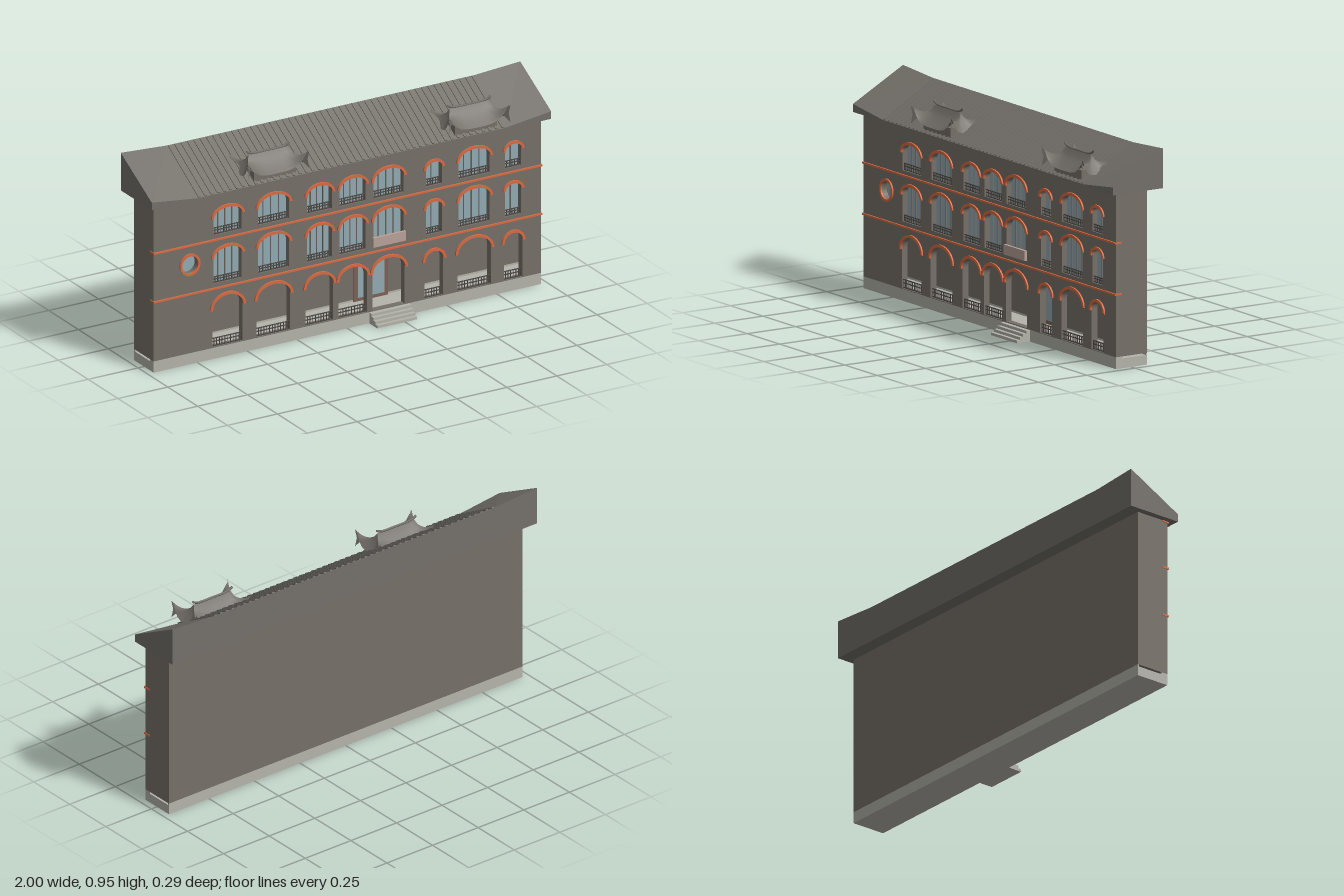
import * as THREE from 'three';

const mat = (name, color, side = THREE.FrontSide) => {
  const m = new THREE.MeshStandardMaterial({ color, side });
  m.name = name;
  return m;
};

export function createModel() {
  const wall = mat('wallGrey', 0x77706a);
  const roofMat = mat('roofGrey', 0x74706a, THREE.DoubleSide);
  const stone = mat('paleStone', 0xb4b3ab);
  const brick = mat('orangeBrick', 0xd96c44);
  const glass = mat('windowGlass', 0x93abb3);
  const iron = mat('darkRailing', 0x4c4844);
  const signMat = mat('signPanel', 0xb9a298);
  const frameMat = mat('doorFrame', 0x7d6257);

  const model = new THREE.Group();
  model.name = 'arcadeBuilding';
  const add = (name, geo, material, parent = model) => {
    const m = new THREE.Mesh(geo, material);
    m.name = name;
    parent.add(m);
    return m;
  };
  // Box given by its limits on each axis
  const box = (name, x0, x1, y0, y1, z0, z1, material, parent) => {
    const m = add(name, new THREE.BoxGeometry(x1 - x0, y1 - y0, z1 - z0), material, parent);
    m.position.set((x0 + x1) / 2, (y0 + y1) / 2, (z0 + z1) / 2);
    return m;
  };

  // Stone base, kerbs and entrance steps
  box('base', -0.97, 0.97, 0, 0.043, -0.083, 0.08, stone);
  box('frontKerb', -0.97, 0.97, 0.043, 0.052, 0.048, 0.08, stone);
  box('backKerb', -0.97, 0.97, 0.043, 0.052, -0.083, -0.076, stone);
  for (let i = 0; i < 4; i++) {
    box('step', 0.11, 0.31, i * 0.0125, (i + 1) * 0.0125, 0.08, 0.147 - i * 0.016, stone);
  }

  // Hollow ground floor and solid upper floors behind the front wall
  box('upperFloors', -0.97, 0.97, 0.32, 0.775, -0.083, 0.05, wall);
  box('backWall', -0.97, 0.97, 0.052, 0.32, -0.083, -0.075, wall);
  for (const s of [-1, 1]) {
    box('endWall', Math.min(s * 0.97, s * 0.95), Math.max(s * 0.97, s * 0.95), 0.052, 0.32, -0.075, 0.05, wall);
  }

  // Columns of openings: centre, width
  const columns = [[-0.6, 0.14], [-0.37, 0.155], [-0.14, 0.125], [0.027, 0.13],
    [0.206, 0.15], [0.433, 0.08], [0.635, 0.155], [0.83, 0.08]];
  // Floors: sill, arch spring, arch rise, extra width, rail height
  const floors = [
    { y0: 0.055, spring: 0.232, rise: 0.058, extra: 0.012, rail: 0.037 },
    { y0: 0.35, spring: 0.475, rise: 0.045, extra: 0, rail: 0.027 },
    { y0: 0.575, spring: 0.66, rise: 0.045, extra: 0, rail: 0.03 },
  ];

  const face = new THREE.Shape();
  face.moveTo(-0.97, 0.052).lineTo(0.97, 0.052).lineTo(0.97, 0.775).lineTo(-0.97, 0.775).closePath();
  const round = { x: -0.79, y: 0.465, r: 0.041 };
  face.holes.push(new THREE.Path().absarc(round.x, round.y, round.r, 0, Math.PI * 2, true));

  floors.forEach((f, level) => columns.forEach(([cx, width], c) => {
    const w = width + f.extra, h = w / 2;
    const rise = f.rise - (w < 0.1 ? 0.018 : w < 0.145 ? 0.007 : 0);
    const hole = new THREE.Path();
    hole.moveTo(cx - h, f.y0).lineTo(cx + h, f.y0).lineTo(cx + h, f.spring);
    hole.absellipse(cx, f.spring, h, rise, 0, Math.PI, false);
    hole.closePath();
    face.holes.push(hole);

    // Brick arch over the opening
    const arch = new THREE.Shape();
    arch.absellipse(cx, f.spring - 0.006, h + 0.013, rise + 0.017, 0, Math.PI, false);
    arch.lineTo(cx - h, f.spring - 0.006);
    arch.absellipse(cx, f.spring - 0.002, h, rise, Math.PI, 0, true);
    const archGeo = new THREE.ExtrudeGeometry(arch, { depth: 0.008, bevelEnabled: false, curveSegments: 12 });
    add('brickArch', archGeo, brick).position.z = 0.0795;

    // Glazing with glazing bars on the upper floors
    if (level > 0) {
      box('windowGlass', cx - h, cx + h, f.y0, f.spring + rise, 0.05, 0.054, glass);
      const bars = w > 0.1 ? 4 : 2;
      for (let i = 1; i < bars; i++) {
        const x = cx - h + (w * i) / bars;
        box('glazingBar', x - 0.0015, x + 0.0015, f.y0, f.spring + rise * 0.8, 0.054, 0.059, wall);
      }
    }
    // Railing in every opening except the doorway
    if (level > 0 || c !== 4) {
      const rail = new THREE.Group();
      rail.name = 'railing';
      model.add(rail);
      for (const y of [f.y0 + 0.002, f.y0 + f.rail * 0.6, f.y0 + f.rail]) {
        box('handrail', cx - h, cx + h, y - 0.0018, y + 0.0018, 0.068, 0.073, iron, rail);
      }
      const n = Math.round(w / 0.014);
      for (let i = 0; i <= n; i++) {
        const x = cx - h + (w * i) / n;
        box('baluster', x - 0.0015, x + 0.0015, f.y0, f.y0 + f.rail, 0.069, 0.072, iron, rail);
      }
    }
  }));
  const faceGeo = new THREE.ExtrudeGeometry(face, { depth: 0.03, bevelEnabled: false, curveSegments: 12 });
  add('frontWall', faceGeo, wall).position.z = 0.05;

  // Round window
  box('roundWindowGlass', round.x - 0.045, round.x + 0.045, round.y - 0.045, round.y + 0.045, 0.05, 0.054, glass);
  const ring = new THREE.Shape().absarc(round.x, round.y, 0.051, 0, Math.PI * 2, false);
  ring.holes.push(new THREE.Path().absarc(round.x, round.y, 0.04, 0, Math.PI * 2, true));
  const ringGeo = new THREE.ExtrudeGeometry(ring, { depth: 0.008, bevelEnabled: false, curveSegments: 20 });
  add('roundWindowRing', ringGeo, brick).position.z = 0.0795;

  // Brick bands between floors
  for (const y of [0.328, 0.554, 0.772]) {
    box('brickBand', -0.973, 0.973, y - 0.004, y + 0.004, 0.052, 0.087, brick);
  }

  // Entrance doors set deep in the arcade, and the panel above
  box('doorFrame', 0.12, 0.292, 0.043, 0.262, -0.075, -0.068, frameMat);
  for (const s of [-1, 1]) {
    const x = 0.206 + s * 0.035;
    box('doorGlass', x - 0.032, x + 0.032, 0.06, 0.25, -0.068, -0.064, glass);
  }
  box('signPanel', 0.125, 0.287, 0.352, 0.396, 0.08, 0.092, signMat);

  // Main roof: wedge section lofted along x, lifted at both ends
  const section = (x, eave, ridge) => [[x, 0.775, 0.115], [x, eave, 0.115], [x, ridge, -0.145], [x, 0.775, -0.145]];
  const secs = [section(-1, 0.81, 0.95), section(-0.77, 0.782, 0.935), section(0.77, 0.782, 0.935), section(1, 0.81, 0.95)];
  const pos = [];
  const tri = (...pts) => pts.forEach((p) => pos.push(...p));
  for (let i = 0; i < 3; i++) {
    for (let j = 0; j < 4; j++) {
      const k = (j + 1) % 4, s = secs[i], n = secs[i + 1];
      tri(s[j], n[j], n[k], s[j], n[k], s[k]);
    }
  }
  const [l, r] = [secs[0], secs[3]];
  tri(l[0], l[1], l[2], l[0], l[2], l[3], r[0], r[3], r[2], r[0], r[2], r[1]);
  const roofGeo = new THREE.BufferGeometry();
  roofGeo.setAttribute('position', new THREE.Float32BufferAttribute(pos, 3));
  roofGeo.computeVertexNormals();
  add('mainRoof', roofGeo, roofMat);

  // Tile ribs running down the slope
  const slope = Math.atan2(0.153, 0.26);
  const ribGeo = new THREE.BoxGeometry(0.012, 0.008, 0.296);
  for (let i = 0; i <= 48; i++) {
    const rib = add('tileRib', ribGeo, roofMat);
    rib.position.set(-0.76 + (i * 1.52) / 48, 0.8585, -0.015);
    rib.rotation.x = slope;
  }

  // Small hipped roofs with upswept corners
  const makeDormer = (cx) => {
    const g = new THREE.Group();
    g.name = 'dormer';
    g.position.x = cx;
    model.add(g);
    const loop = [], N = 10, T = 6;
    const corners = [[-1, 1], [1, 1], [1, -1], [-1, -1]];
    corners.forEach(([u, v], i) => {
      const [u2, v2] = corners[(i + 1) % 4];
      for (let k = 0; k < N; k++) loop.push([u + ((u2 - u) * k) / N, v + ((v2 - v) * k) / N]);
    });
    const verts = [], idx = [], L = loop.length;
    for (let t = 0; t <= T; t++) {
      const q = t / T;
      for (const [u, v] of loop) {
        const lift = 0.07 * Math.pow(Math.abs(u * v), 4) * q * q;
        verts.push(u * (0.1 + 0.05 * q), 0.895 - 0.077 * Math.pow(q, 0.7) + lift, 0.045 + v * 0.08 * q);
      }
    }
    for (let t = 0; t < T; t++) {
      for (let k = 0; k < L; k++) {
        const a = t * L + k, b = t * L + ((k + 1) % L);
        idx.push(a, a + L, b + L, a, b + L, b);
      }
    }
    const geo = new THREE.BufferGeometry();
    geo.setAttribute('position', new THREE.Float32BufferAttribute(verts, 3));
    geo.setIndex(idx);
    geo.computeVertexNormals();
    add('dormerRoof', geo, roofMat, g);
    box('dormerBody', -0.105, 0.105, 0.79, 0.835, 0.03, 0.1, wall, g);

    // Ridge pole with raised ends
    const ridge = new THREE.CatmullRomCurve3([[-0.108, 0.911], [-0.085, 0.9], [0, 0.897], [0.085, 0.9], [0.108, 0.911]]
      .map(([x, y]) => new THREE.Vector3(x, y, 0.042)));
    add('dormerRidge', new THREE.TubeGeometry(ridge, 16, 0.005, 6), roofMat, g);

    // Flared fins at the front corners
    const fin = new THREE.Shape();
    fin.moveTo(0, 0).lineTo(0.04, -0.038).lineTo(0.032, 0.002).lineTo(0.04, 0.043).closePath();
    for (const s of [-1, 1]) {
      const m = add('cornerFin', new THREE.ShapeGeometry(fin), roofMat, g);
      m.position.set(s * 0.125, 0.85, 0.105);
      m.rotation.y = s > 0 ? -Math.PI / 4 : (-3 * Math.PI) / 4;
    }
  };
  makeDormer(-0.375);
  makeDormer(0.632);

  return model;
}
